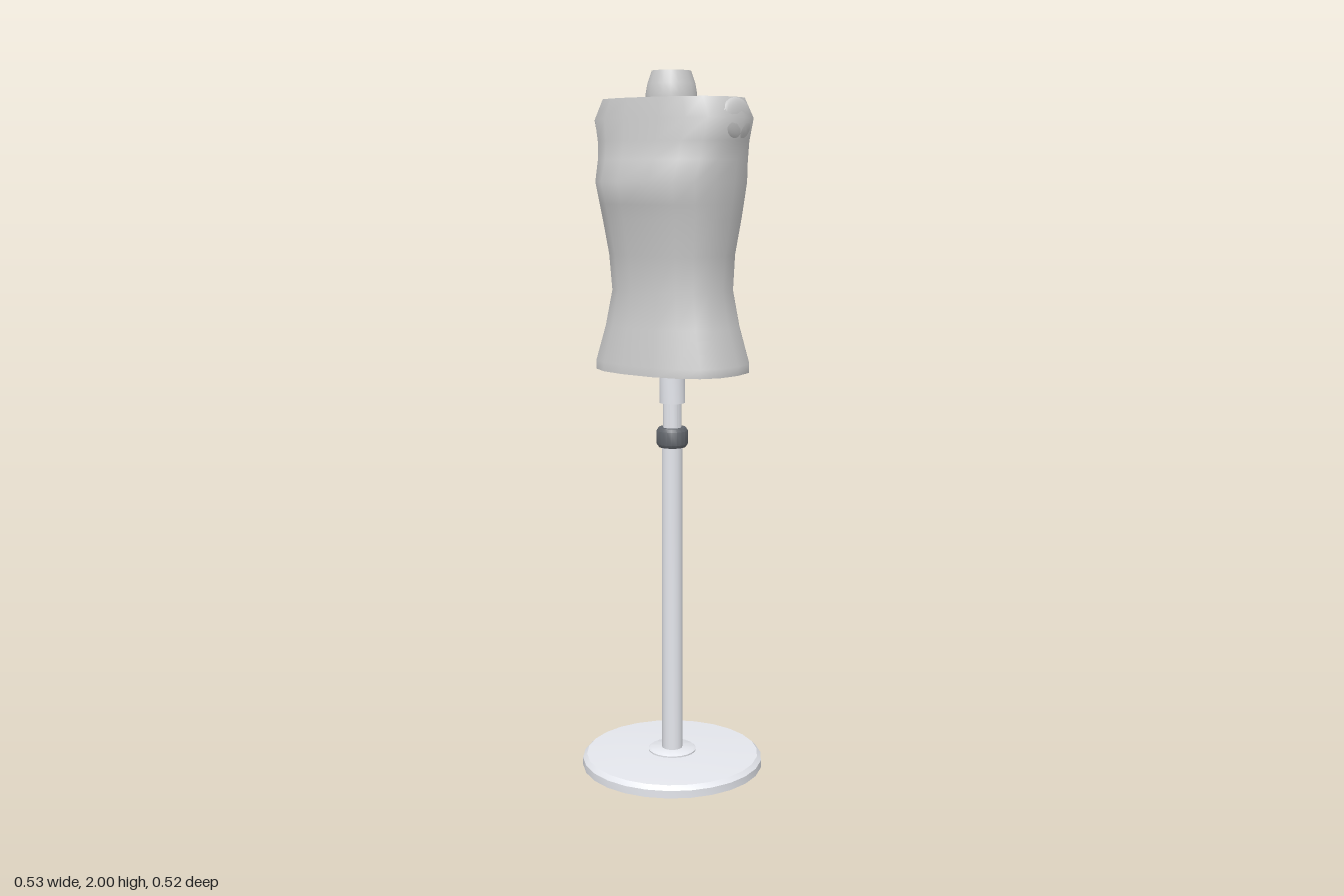
import * as THREE from 'three';
import { toCreasedNormals } from 'three/addons/utils/BufferGeometryUtils.js';

const SIDES = 18;
const fabric = new THREE.MeshStandardMaterial({ color: 0xcccccc });
const metal = new THREE.MeshStandardMaterial({ color: 0xe4e6ec });
const dark = new THREE.MeshStandardMaterial({ color: 0x62666c });

// Torso sections: height, half width, depth to the front, depth to the back
const SECTIONS = [
  [1.175, 0.226, 0.165, 0.165], [1.2, 0.227, 0.164, 0.164],
  [1.3, 0.195, 0.147, 0.149], [1.4, 0.175, 0.132, 0.136],
  [1.5, 0.181, 0.142, 0.139], [1.6, 0.198, 0.158, 0.154],
  [1.64, 0.204, 0.167, 0.159], [1.7, 0.212, 0.182, 0.167],
  [1.76, 0.217, 0.158, 0.162], [1.81, 0.224, 0.148, 0.154],
  [1.87, 0.241, 0.141, 0.145], [1.925, 0.213, 0.131, 0.133],
];

// Rounded-rectangle-like oval ring
function ring([y, w, front, back]) {
  const bend = (v) => Math.sign(v) * Math.pow(Math.abs(v), 0.8);
  return Array.from({ length: SIDES }, (_, i) => {
    const a = (i / SIDES) * Math.PI * 2;
    const s = bend(Math.sin(a));
    return [w * bend(Math.cos(a)), y, s * (s > 0 ? front : back)];
  });
}

function torsoGeometry() {
  const pos = [], index = [];
  SECTIONS.forEach((s) => pos.push(...ring(s).flat()));
  for (let j = 0; j < SECTIONS.length - 1; j++) {
    for (let i = 0; i < SIDES; i++) {
      const n = (i + 1) % SIDES;
      const a = j * SIDES + i, b = j * SIDES + n;
      index.push(a, a + SIDES, b, b, a + SIDES, b + SIDES);
    }
  }
  // Flat caps with their own vertices, so the rims stay sharp
  [SECTIONS[0], SECTIONS[SECTIONS.length - 1]].forEach((s, top) => {
    const c = pos.length / 3;
    pos.push(0, s[0], 0, ...ring(s).flat());
    for (let i = 0; i < SIDES; i++) {
      const a = c + 1 + i, b = c + 1 + ((i + 1) % SIDES);
      index.push(c, top ? b : a, top ? a : b);
    }
  });
  const g = new THREE.BufferGeometry();
  g.setAttribute('position', new THREE.Float32BufferAttribute(pos, 3));
  g.setIndex(index);
  g.computeVertexNormals();
  return g;
}

function turned(name, profile, sides, material) {
  const pts = profile.map(([r, y]) => new THREE.Vector2(r, y));
  const g = new THREE.LatheGeometry(pts, sides).rotateY(Math.PI / 2);
  const mesh = new THREE.Mesh(toCreasedNormals(g, 0.6), material);
  mesh.name = name;
  return mesh;
}

export function createModel() {
  const group = new THREE.Group();
  group.name = 'dressForm';

  const torso = new THREE.Mesh(torsoGeometry(), fabric);
  torso.name = 'torso';
  group.add(torso);

  // Shallow shoulder caps, just breaking through the torso
  for (const side of [1, -1]) {
    const cap = new THREE.Mesh(new THREE.SphereGeometry(1, 20, 14), fabric);
    cap.name = side > 0 ? 'leftShoulderCap' : 'rightShoulderCap';
    cap.scale.set(0.022, 0.059, 0.07);
    cap.position.set(side * 0.212, 1.865, 0);
    group.add(cap);
  }

  const neck = turned('neck', [
    [0, 1.92], [0.071, 1.92], [0.071, 1.937], [0.066, 1.965], [0.054, 2], [0, 2],
  ], 20, fabric);
  neck.position.z = 0.004;
  group.add(neck);

  // Stand
  group.add(
    turned('base', [
      [0, 0], [0.264, 0], [0.264, 0.022], [0.252, 0.034], [0.16, 0.039], [0, 0.042],
    ], 26, metal),
    turned('poleFlange', [
      [0, 0.03], [0.07, 0.03], [0.07, 0.045], [0.064, 0.049], [0, 0.049],
    ], 24, metal),
    turned('pole', [[0, 0.03], [0.03, 0.03], [0.03, 0.99], [0, 0.99]], 16, metal),
    turned('innerPole', [[0, 0.97], [0.026, 0.97], [0.026, 1.12], [0, 1.12]], 16, metal),
    turned('torsoSocket', [[0, 1.08], [0.037, 1.08], [0.037, 1.19], [0, 1.19]], 16, metal),
    turned('heightCollar', [
      [0, 0.953], [0.039, 0.953], [0.045, 0.962], [0.045, 1.0], [0.039, 1.009], [0, 1.009],
    ], 20, dark),
  );
  return group;
}
